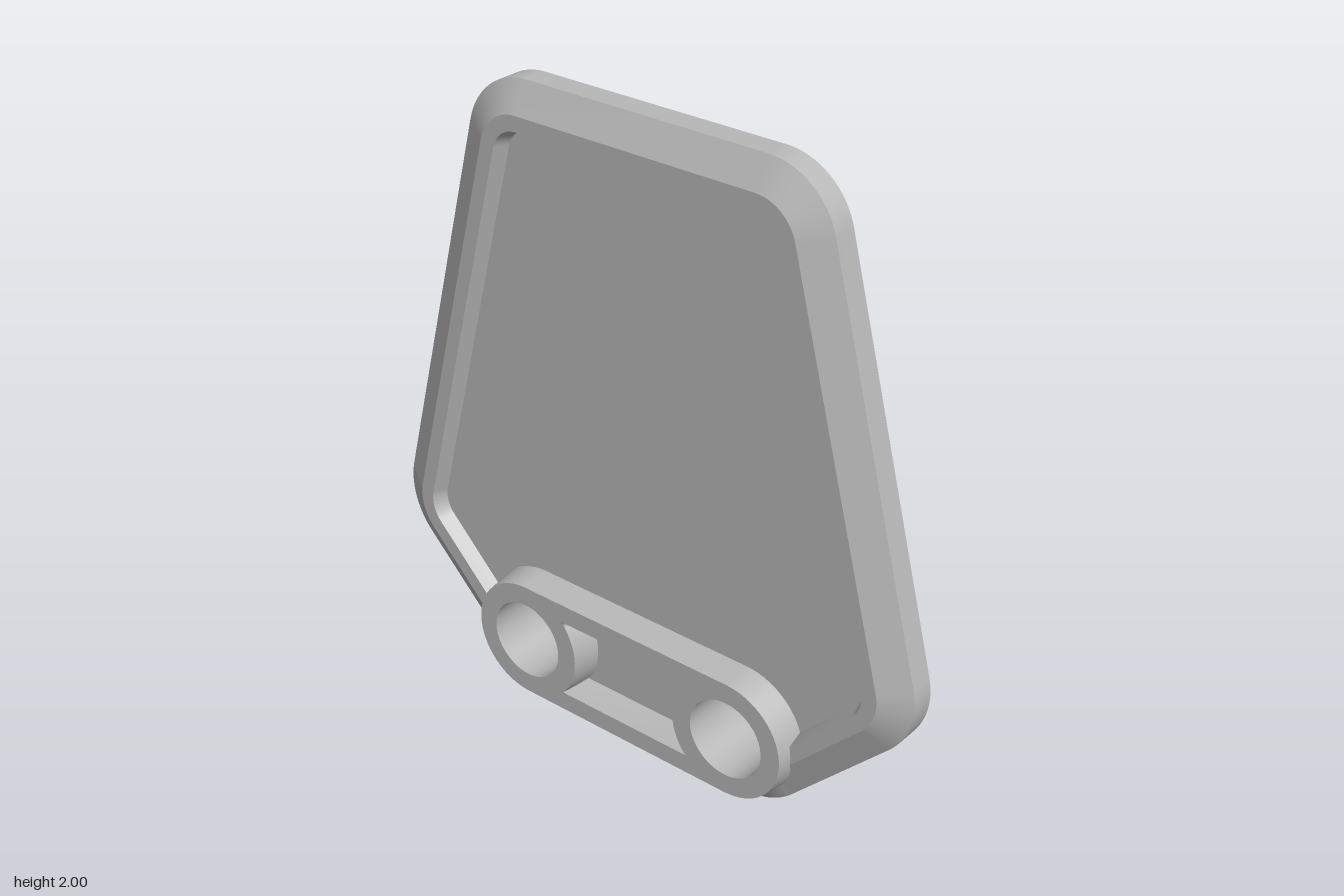
import * as THREE from 'three';

const grey = new THREE.MeshStandardMaterial({ color: 0xb8b8b8 });
grey.name = 'plain grey';

const HX = 0.38, HY = 0.242, HOLE_R = 0.127; // hole centres and radius
const EDGE = 0.038, FACE = 0.088, FLOOR = 0.04, BOSS = 0.133; // half depths
const rad = THREE.MathUtils.degToRad;

// points on an arc, angles in degrees
function arc(cx, cy, r, from, to, n = 16) {
  return Array.from({ length: n + 1 }, (_, i) => {
    const t = rad(from + (to - from) * i / n);
    return new THREE.Vector2(cx + r * Math.cos(t), cy + r * Math.sin(t));
  });
}

// add the mirrored left half to a right half, counter-clockwise
const mirrored = (half) => [...half, ...half.map((p) => new THREE.Vector2(-p.x, p.y)).reverse()];

// plate outline, moved inwards by d; the bottom arc stays clear of the holes
function plateOutline(d) {
  const r = HY - d, R = Math.max(r, 0.165);
  const end = -45 + THREE.MathUtils.radToDeg(Math.acos(Math.min(1, r / R)));
  return mirrored([
    ...arc(HX, HY, R, -90, end),
    ...arc(0.695, 0.56, 0.24 - d, -45, 14.5),
    ...arc(0.4, 1.78, 0.22 - d, 14.5, 90),
  ]);
}

const capsule = (r) => mirrored(arc(HX, HY, r, -90, 90, 32));

// pocket between the holes, its ends curved around them
function pocketOutline(h, r) {
  const a = THREE.MathUtils.radToDeg(Math.asin(h / r));
  return mirrored(arc(HX, HY, r, 180 + a, 180 - a));
}

// surface through closed loops [points, z]; each band keeps its own normals
function bands(loops) {
  const pos = [], index = [];
  for (let k = 0; k + 1 < loops.length; k++) {
    const n = loops[k][0].length, base = pos.length / 3;
    for (const [pts, z] of [loops[k], loops[k + 1]]) pts.forEach((p) => pos.push(p.x, p.y, z));
    for (let i = 0; i < n; i++) {
      const a = base + i, b = base + (i + 1) % n;
      index.push(a, b, b + n, a, b + n, a + n);
    }
  }
  const geo = new THREE.BufferGeometry();
  geo.setAttribute('position', new THREE.Float32BufferAttribute(pos, 3));
  geo.setIndex(index);
  geo.computeVertexNormals();
  return geo;
}

// flat face with holes at depth z
function face(outline, holes, z) {
  const shape = new THREE.Shape(outline);
  shape.holes = holes.map((h) => new THREE.Path(h));
  return new THREE.ShapeGeometry(shape).translate(0, 0, z);
}

const circle = (x) => arc(x, HY, HOLE_R, 0, 360, 48).slice(0, -1);

function add(group, name, geo) {
  const mesh = new THREE.Mesh(geo, grey);
  mesh.name = name;
  group.add(mesh);
}

function buildSide(name) {
  const side = new THREE.Group();
  side.name = name;
  const holes = [circle(HX), circle(-HX)];

  // bevelled rim and recessed panel
  add(side, 'rim', bands([
    [plateOutline(0), 0],
    [plateOutline(0), EDGE],
    [plateOutline(0.088), FACE],
    [plateOutline(0.135), FACE],
    [plateOutline(0.15), FLOOR],
  ]));
  add(side, 'panel', face(plateOutline(0.15), holes, FLOOR));

  // raised boss with tapered walls and a pocket
  add(side, 'bossWall', bands([[capsule(0.204), EDGE], [capsule(0.191), BOSS]]));
  add(side, 'bossFace', face(capsule(0.191), [...holes, pocketOutline(0.13, 0.193)], BOSS));
  add(side, 'pocketWall', bands([
    [pocketOutline(0.13, 0.193), BOSS],
    [pocketOutline(0.119, 0.205), FLOOR],
  ]));
  return side;
}

export function createModel() {
  const model = new THREE.Group();
  model.name = 'plate';
  const front = buildSide('frontSide');
  const back = buildSide('backSide');
  back.rotation.y = Math.PI;
  model.add(front, back);

  // through holes, facing inwards
  for (const [name, x] of [['leftHole', HX], ['rightHole', -HX]]) {
    add(model, name, bands([[circle(x), BOSS], [circle(x), -BOSS]]));
  }
  return model;
}
